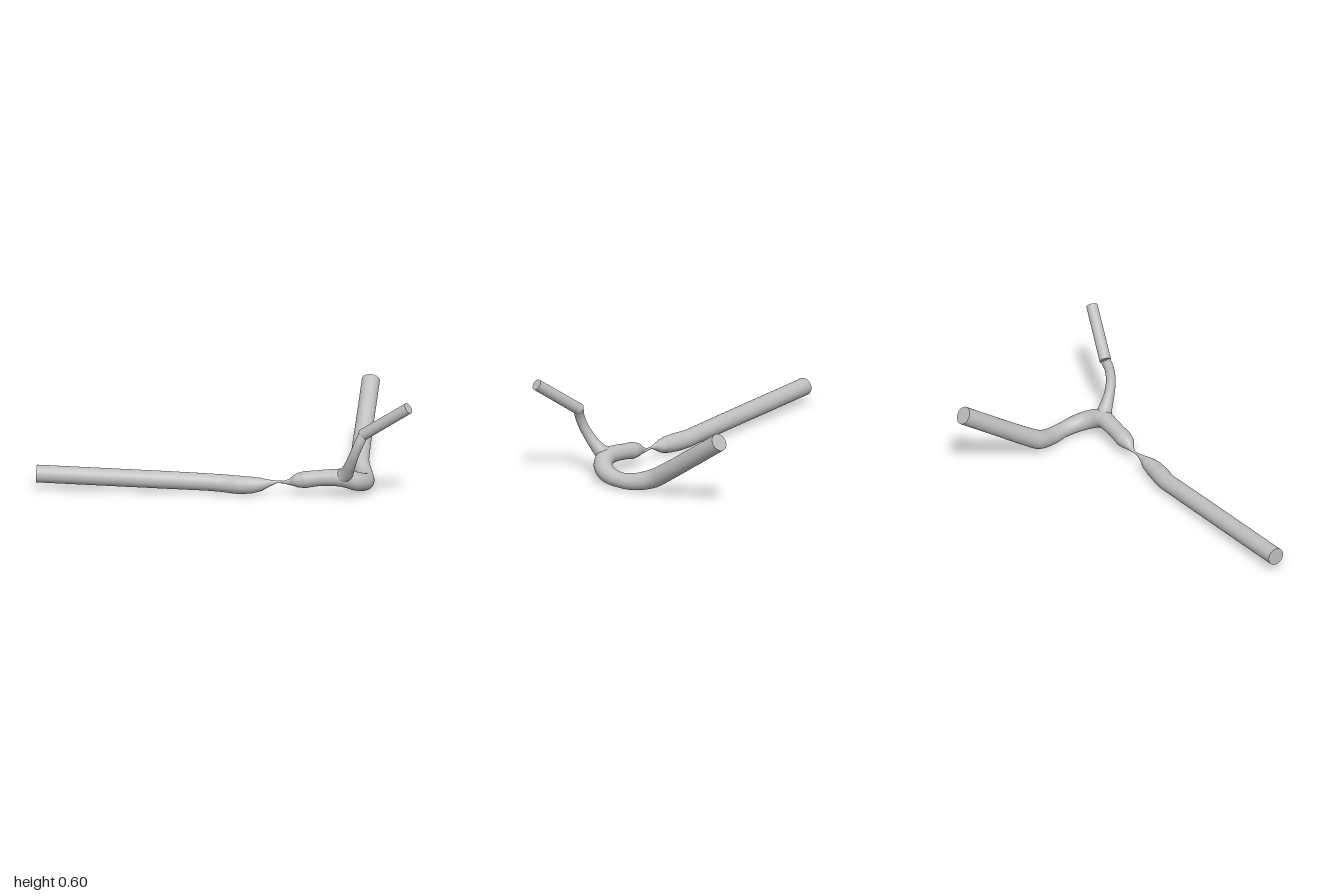
import * as THREE from 'three';

const SIDES = 32;

// Sweep a round section along stations [x, y, z, radius], with optional flat end caps.
function vessel(name, stations, material, { capStart = true, capEnd = true, steps = 8 } = {}) {
  const curve = new THREE.CatmullRomCurve3(stations.map(([x, y, z]) => new THREE.Vector3(x, y, z)));
  const segments = stations.length - 1;
  const rows = segments * steps;
  const positions = [];
  const index = [];
  const normal = new THREE.Vector3(0, 1, 0);
  for (let i = 0; i <= rows; i++) {
    const t = i / rows;
    const centre = curve.getPoint(t);
    const tangent = curve.getTangent(t);
    normal.addScaledVector(tangent, -normal.dot(tangent)).normalize();
    const binormal = new THREE.Vector3().crossVectors(tangent, normal);
    const k = Math.min(Math.floor(t * segments + 1e-6), segments - 1);
    const radius = THREE.MathUtils.lerp(stations[k][3], stations[k + 1][3], t * segments - k);
    for (let j = 0; j < SIDES; j++) {
      const a = (j / SIDES) * Math.PI * 2;
      const p = centre.clone()
        .addScaledVector(normal, radius * Math.cos(a))
        .addScaledVector(binormal, radius * Math.sin(a));
      positions.push(p.x, p.y, p.z);
      if (i < rows) {
        const n = (j + 1) % SIDES;
        const p0 = i * SIDES + j, p1 = i * SIDES + n;
        index.push(p0, p1, p0 + SIDES, p1, p1 + SIDES, p0 + SIDES);
      }
    }
  }
  const geometry = new THREE.BufferGeometry();
  geometry.setAttribute('position', new THREE.Float32BufferAttribute(positions, 3));
  geometry.setIndex(index);
  geometry.computeVertexNormals();

  const group = new THREE.Group();
  group.name = name;
  const wall = new THREE.Mesh(geometry, material);
  wall.name = name + 'Wall';
  group.add(wall);

  const addCap = (t, radius, sign) => {
    const cap = new THREE.Mesh(new THREE.CircleGeometry(radius, SIDES), material);
    cap.name = name + 'EndCap';
    cap.position.copy(curve.getPoint(t));
    cap.quaternion.setFromUnitVectors(new THREE.Vector3(0, 0, 1), curve.getTangent(t).multiplyScalar(sign));
    group.add(cap);
  };
  if (capStart) addCap(0, stations[0][3], -1);
  if (capEnd) addCap(1, stations[segments][3], 1);
  return group;
}

export function createModel() {
  const model = new THREE.Group();
  model.name = 'branchingVessel';
  const grey = new THREE.MeshStandardMaterial({ color: 0xbfbfbf });
  grey.name = 'grey';

  // Main vessel: straight inlet, pinched neck, fork, then a bend up into the straight outlet
  model.add(vessel('mainVessel', [
    [-0.982, 0.093, -0.385, 0.048],
    [-0.66, 0.082, -0.267, 0.048],
    [-0.34, 0.071, -0.149, 0.048],
    [-0.1, 0.062, -0.06, 0.047],
    [-0.03, 0.058, -0.032, 0.048],
    [0.04, 0.056, 0.01, 0.05],
    [0.1, 0.058, 0.04, 0.046],
    [0.15, 0.063, 0.058, 0.037],
    [0.195, 0.071, 0.074, 0.019],
    [0.235, 0.077, 0.085, 0.007],
    [0.27, 0.077, 0.098, 0.007],
    [0.3, 0.08, 0.115, 0.017],
    [0.335, 0.091, 0.135, 0.038],
    [0.375, 0.098, 0.152, 0.046],
    [0.43, 0.107, 0.176, 0.043],
    [0.5, 0.115, 0.207, 0.045],
    [0.57, 0.114, 0.234, 0.05],
    [0.64, 0.088, 0.228, 0.051],
    [0.7, 0.064, 0.181, 0.048],
    [0.738, 0.05, 0.1, 0.042],
    [0.752, 0.055, 0, 0.047],
    [0.76, 0.087, -0.1, 0.052],
    [0.79, 0.135, -0.175, 0.05],
    [0.845, 0.222, -0.297, 0.049],
    [0.955, 0.398, -0.538, 0.049],
  ], grey));

  // Thin side branch rising from the fork, flared at its root
  model.add(vessel('sideBranch', [
    [0.55, 0.112, 0.228, 0.044],
    [0.571, 0.145, 0.262, 0.04],
    [0.577, 0.18, 0.292, 0.033],
    [0.583, 0.23, 0.327, 0.028],
    [0.595, 0.29, 0.356, 0.026],
    [0.614, 0.345, 0.369, 0.026],
    [0.64, 0.397, 0.368, 0.027],
  ], grey, { capStart: false }));

  // Straight tip of the side branch, starting at a sharp elbow
  model.add(vessel('sideBranchTip', [
    [0.636, 0.393, 0.364, 0.032],
    [0.842, 0.58, 0.54, 0.031],
  ], grey));

  return model;
}
